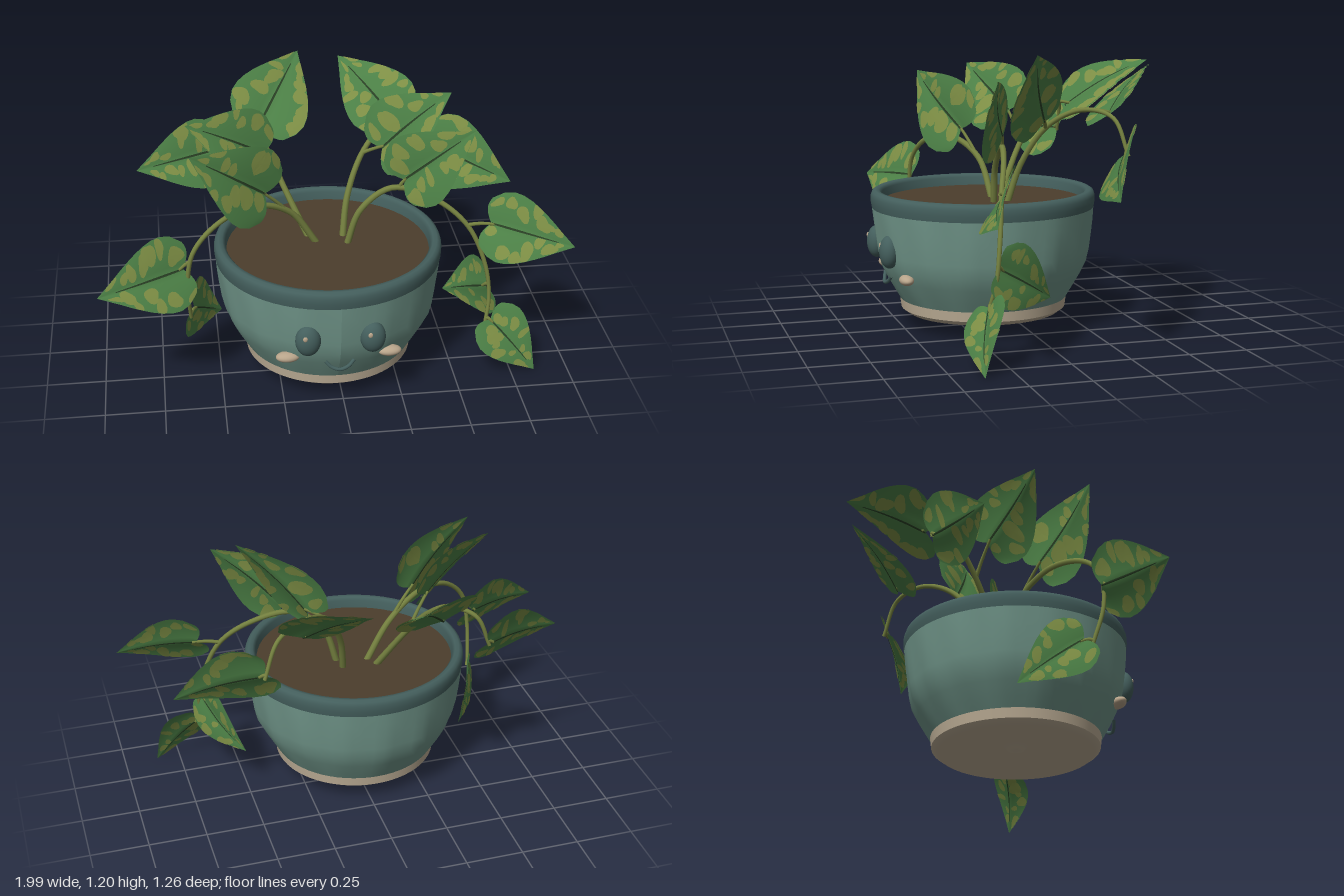
import * as THREE from 'three';

const mat = (name, color, side = THREE.FrontSide) => {
  const m = new THREE.MeshStandardMaterial({ color, side });
  m.name = name;
  return m;
};
const V = (a) => new THREE.Vector3(...a);

export function createModel() {
  const M = {
    pot: mat('teal glaze', 0x709589),
    rim: mat('dark teal', 0x445f5d),
    clay: mat('bare clay', 0xbcad95),
    soil: mat('soil', 0x4c3e2c),
    stem: mat('stem green', 0x74803f),
    leaf: mat('leaf green', 0x4c8046, THREE.DoubleSide),
    patch: mat('leaf patch', 0x7e8f45, THREE.DoubleSide),
    vein: mat('dark vein', 0x293f24, THREE.DoubleSide),
    cheek: mat('cheek', 0xb8a48a),
  };
  const root = new THREE.Group();
  root.name = 'pottedPlant';
  const add = (parent, name, geo, material, pos = [0, 0, 0], scale = [1, 1, 1]) => {
    const m = new THREE.Mesh(geo, material);
    m.name = name;
    m.position.set(...pos);
    m.scale.set(...scale);
    parent.add(m);
    return m;
  };

  // Pot: base, softly fluted body, rim and soil share one axis
  const pot = new THREE.Group();
  pot.name = 'pot';
  pot.position.set(-0.024, 0, 0.145);
  root.add(pot);
  const lathe = (pts) => new THREE.LatheGeometry(pts.map((p) => new THREE.Vector2(...p)), 64);
  add(pot, 'baseUnderside', lathe([[0.001, 0.08], [0.035, 0.082], [0.05, 0.1], [0.33, 0.068],
    [0.357, 0.088]]), M.clay);
  add(pot, 'baseBand', lathe([[0.357, 0.088], [0.362, 0.13]]), M.clay);
  const body = lathe([[0.362, 0.13], [0.385, 0.17], [0.418, 0.23], [0.444, 0.285], [0.456, 0.34],
    [0.466, 0.41], [0.474, 0.47], [0.48, 0.53]]);
  const bp = body.attributes.position;
  for (let i = 0; i < bp.count; i++) {
    const x = bp.getX(i), z = bp.getZ(i), y = bp.getY(i);
    const k = 1 + 0.01 * Math.cos(16 * Math.atan2(z, x)) * Math.sin(((y - 0.13) / 0.4) * Math.PI);
    bp.setXYZ(i, x * k, y, z * k);
  }
  body.computeVertexNormals();
  add(pot, 'body', body, M.pot);
  add(pot, 'rim', lathe([[0.48, 0.525], [0.484, 0.55], [0.484, 0.575], [0.478, 0.592], [0.465, 0.6],
    [0.448, 0.598], [0.436, 0.585], [0.43, 0.53]]), M.rim);
  const soil = add(pot, 'soil', new THREE.CircleGeometry(0.434, 48), M.soil, [0, 0.55, 0]);
  soil.rotation.x = -Math.PI / 2;

  // Face
  const ball = new THREE.SphereGeometry(1, 28, 18);
  for (const s of [-1, 1]) {
    add(pot, 'eye', ball, M.rim, [s * 0.133, 0.365, 0.443], [0.053, 0.07, 0.042]);
    add(pot, 'eyeGlint', ball, M.cheek, [s * 0.133 - 0.014, 0.392, 0.478], [0.01, 0.012, 0.006]);
    add(pot, 'cheek', ball, M.cheek, [s * 0.212, 0.257, 0.388], [0.05, 0.022, 0.03]);
  }
  const smile = new THREE.CatmullRomCurve3([[-0.06, 0.245, 0.421], [-0.035, 0.22, 0.43],
    [0, 0.21, 0.436], [0.035, 0.22, 0.43], [0.06, 0.245, 0.421]].map(V));
  add(pot, 'mouth', new THREE.TubeGeometry(smile, 24, 0.008, 8), M.rim);

  // Main vines, tapering towards their ends
  const taperedTube = (curve, n, r0, r1) => {
    const g = new THREE.TubeGeometry(curve, n, r0, 8), p = g.attributes.position;
    const v = new THREE.Vector3();
    for (let i = 0; i < p.count; i++) {
      const u = Math.floor(i / 9) / n;
      v.fromBufferAttribute(p, i).lerp(curve.getPointAt(u), u * (1 - r1 / r0));
      p.setXYZ(i, v.x, v.y, v.z);
    }
    return g;
  };
  const vines = [
    [[-0.09, 0.53, 0.05], [-0.19, 0.74, -0.06], [-0.26, 0.89, -0.17], [-0.32, 0.955, -0.26],
      [-0.41, 0.93, -0.33], [-0.47, 0.79, -0.34]],
    [[0.05, 0.53, 0.06], [0.08, 0.72, 0.0], [0.16, 0.88, -0.09], [0.28, 0.955, -0.2],
      [0.42, 0.93, -0.29], [0.49, 0.78, -0.33]],
    [[-0.06, 0.53, 0.09], [-0.18, 0.71, 0.12], [-0.34, 0.79, 0.2], [-0.5, 0.76, 0.29],
      [-0.6, 0.66, 0.33], [-0.63, 0.5, 0.33], [-0.62, 0.32, 0.28]],
    [[0.06, 0.53, 0.12], [0.12, 0.71, 0.13], [0.25, 0.81, 0.14], [0.42, 0.77, 0.18],
      [0.56, 0.66, 0.23], [0.64, 0.48, 0.26], [0.66, 0.33, 0.28], [0.64, 0.2, 0.31]],
  ].map((p) => new THREE.CatmullRomCurve3(p.map(V)));
  for (const c of vines) add(root, 'vine', taperedTube(c, 48, 0.015, 0.008), M.stem);

  // Leaf blade: s runs across (-1..1), t from stalk to tip, in units of leaf length
  const widths = [0.29, 0.385, 0.42, 0.41, 0.375, 0.325, 0.265, 0.2, 0.13, 0.065, 0];
  const blade = (s, t, lift = 0) => {
    const f = Math.min(Math.max(t, 0), 1) * 10, i = Math.min(Math.floor(f), 9);
    const w = widths[i] + (widths[i + 1] - widths[i]) * (f - i);
    const a = Math.abs(s);
    return [s * w, t - 0.09 * Math.sin(Math.PI * a * 0.75) * (1 - t) ** 3,
      (0.24 * a - 0.12 * a * a) * w + 0.04 * Math.sin(Math.PI * t) + lift];
  };
  const surface = (pos, idx) => {
    const g = new THREE.BufferGeometry();
    g.setAttribute('position', new THREE.Float32BufferAttribute(pos, 3));
    g.setIndex(idx);
    g.computeVertexNormals();
    return g;
  };
  const grid = (nS, nT, s0, s1, t0, t1, lifts) => {
    const pos = [], idx = [];
    for (const lift of lifts) {
      const o = pos.length / 3;
      for (let j = 0; j <= nT; j++) for (let i = 0; i <= nS; i++)
        pos.push(...blade(s0 + ((s1 - s0) * i) / nS, t0 + ((t1 - t0) * j) / nT, lift));
      for (let j = 0; j < nT; j++) for (let i = 0; i < nS; i++) {
        const a = o + j * (nS + 1) + i, b = a + nS + 1;
        idx.push(a, a + 1, b, a + 1, b + 1, b);
      }
    }
    return surface(pos, idx);
  };
  const bladeGeo = grid(12, 20, -1, 1, 0, 1, [0]);
  const veinGeo = grid(2, 20, -0.03, 0.03, 0, 0.8, [0.011, -0.011]);

  let seed = 7;
  const rnd = () => (seed = (seed * 16807) % 2147483647) / 2147483647;
  // Uneven blotches laid just above both faces of the blade
  const patchGeo = () => {
    const pos = [], idx = [], N = 16;
    for (let k = 0; k < 14; k++) {
      const side = k % 2 ? 1 : -1;
      const t = 0.05 + 0.85 * ((k >> 1) + rnd() * 0.9) / 7, s = 0.2 + 0.75 * rnd();
      const rt = 0.04 + 0.05 * rnd(), rs = (0.13 + 0.17 * rnd()) * (1 + t * 0.5);
      const ph = rnd() * 6;
      for (const lift of [0.008, -0.008]) {
        const o = pos.length / 3;
        pos.push(...blade(side * s, t, lift));
        for (let i = 0; i < N; i++) {
          const a = (i / N) * Math.PI * 2;
          const r = 1 + 0.15 * Math.sin(2 * a + ph) + 0.1 * Math.sin(3 * a + 2 * ph);
          const ss = Math.min(0.99, Math.max(0.05, s + rs * r * Math.cos(a)));
          pos.push(...blade(side * ss, Math.min(0.98, Math.max(0.01, t + rt * r * Math.sin(a))), lift));
          idx.push(o, o + 1 + i, o + 1 + ((i + 1) % N));
        }
      }
    }
    return surface(pos, idx);
  };

  // Leaves: stalk end, tip, facing direction, vine index, position along the vine
  const leaves = [
    [[-0.645, 0.58, 0.32], [-0.995, 0.55, 0.465], [0.3, 0.45, 0.85], 2, 0.72],
    [[-0.47, 0.8, -0.34], [-0.82, 0.775, -0.22], [0.2, 0.45, 0.87], 0, 0.97],
    [[-0.27, 0.925, -0.32], [-0.07, 1.138, -0.63], [0.25, 0.78, 0.57], 0, 0.65],
    [[-0.28, 0.91, -0.05], [-0.605, 1.105, 0.06], [0.6, 0.42, 0.68], 0, 0.35],
    [[-0.29, 0.83, 0.17], [-0.6, 1.075, 0.3], [0.46, 0.22, 0.86], 2, 0.22],
    [[-0.605, 0.35, 0.25], [-0.48, 0.185, 0.01], [-0.87, 0, -0.48], 2, 0.98],
    [[0.235, 0.905, -0.05], [0.505, 1.2, 0.065], [-0.63, 0.43, 0.62], 1, 0.42],
    [[0.3, 0.85, 0.15], [0.577, 1.105, 0.247], [-0.46, 0.22, 0.86], 3, 0.32],
    [[0.49, 0.79, -0.315], [0.84, 0.65, -0.165], [-0.2, 0.4, 0.9], 1, 0.98],
    [[0.32, 0.935, -0.305], [0.107, 1.13, -0.57], [-0.2, 0.8, 0.57], 1, 0.68],
    [[0.66, 0.67, 0.245], [0.995, 0.6, 0.37], [-0.25, 0.45, 0.85], 3, 0.6],
    [[0.665, 0.23, 0.31], [0.855, 0.004, 0.38], [0.2, 0.45, 0.87], 3, 0.97],
    [[0.645, 0.375, 0.26], [0.51, 0.22, 0.01], [0.87, 0, -0.48], 3, 0.84],
  ];
  for (const [b, tip, n, vine, at] of leaves) {
    const base = V(b), axis = V(tip).sub(base), len = axis.length();
    axis.normalize();
    const side = axis.clone().cross(V(n)).normalize();
    const up = side.clone().cross(axis);
    const leaf = new THREE.Group();
    leaf.name = 'leaf';
    leaf.position.copy(base);
    leaf.quaternion.setFromRotationMatrix(new THREE.Matrix4().makeBasis(side, axis, up));
    leaf.scale.setScalar(len);
    add(leaf, 'blade', bladeGeo, M.leaf);
    add(leaf, 'patches', patchGeo(), M.patch);
    add(leaf, 'midrib', veinGeo, M.vein);
    root.add(leaf);
    // Stalk joining the leaf to its vine
    const start = vines[vine].getPointAt(at);
    const mid = start.clone().lerp(base, 0.5).addScaledVector(V([0, 1, 0]), 0.01);
    const end = base.clone().addScaledVector(axis, 0.02);
    add(root, 'leafStalk', taperedTube(
      new THREE.QuadraticBezierCurve3(start, mid, end), 10, 0.009, 0.006), M.stem);
  }
  return root;
}
